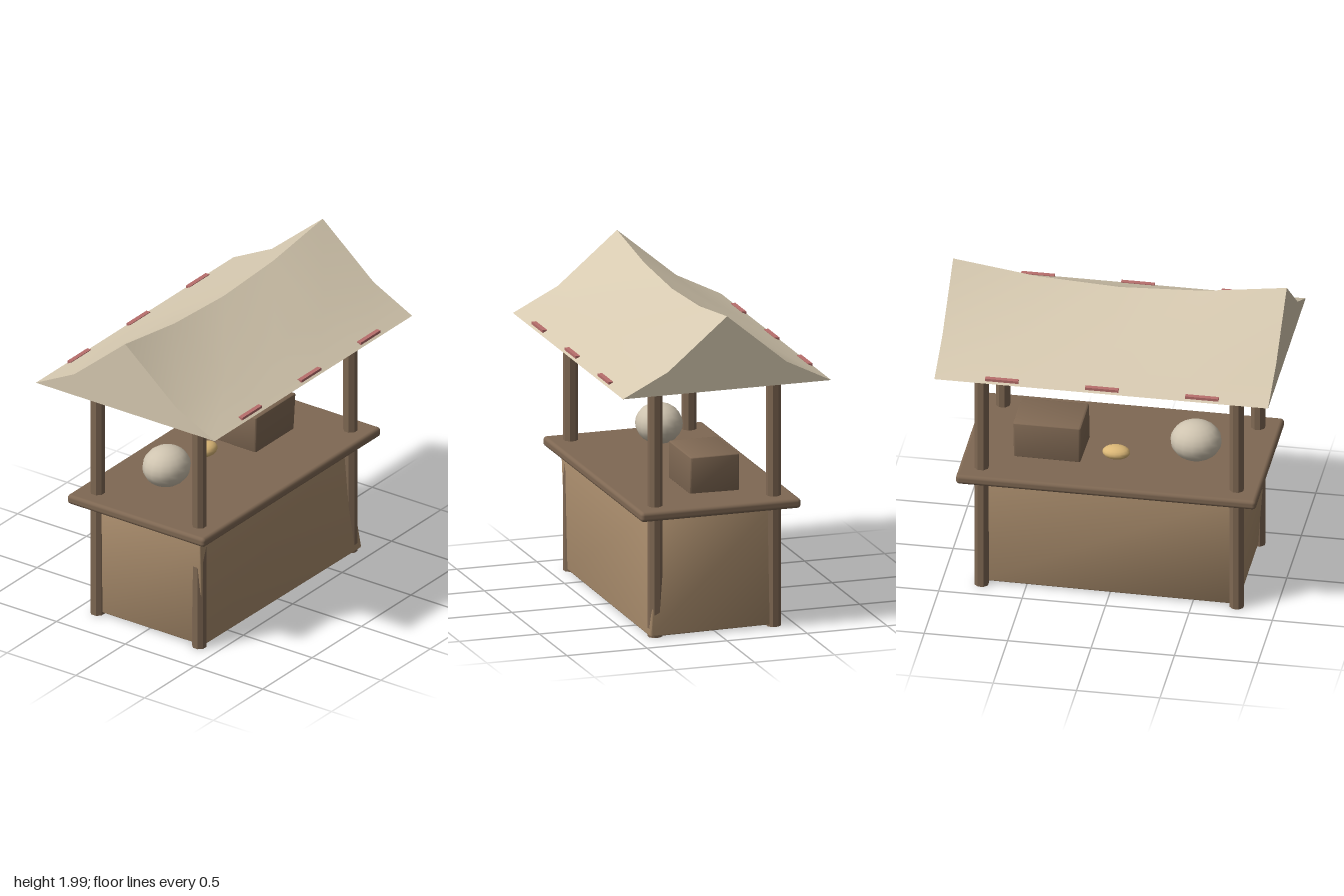
import * as THREE from 'three';
import { toCreasedNormals } from 'three/addons/utils/BufferGeometryUtils.js';
import { RoundedBoxGeometry } from 'three/addons/geometries/RoundedBoxGeometry.js';

const wood = new THREE.MeshStandardMaterial({ color: 0x7f6853 });
const panel = new THREE.MeshStandardMaterial({ color: 0xa98c6c });
const cloth = new THREE.MeshStandardMaterial({ color: 0xd6c9b0 });
const trim = new THREE.MeshStandardMaterial({ color: 0xb86f6c });
const pale = new THREE.MeshStandardMaterial({ color: 0xcfc4b0 });
const crust = new THREE.MeshStandardMaterial({ color: 0xdcb877 });

function add(group, name, geometry, material, x = 0, y = 0, z = 0) {
  const mesh = new THREE.Mesh(geometry, material);
  mesh.name = name;
  mesh.position.set(x, y, z);
  group.add(mesh);
  return mesh;
}

// Rounded box whose footprint blends between hand-set bottom and top corners.
// Corner order: (-x,-z), (+x,-z), (-x,+z), (+x,+z), each as [x, z].
function skewedBox(bottom, top, y0, y1, radius) {
  const geo = new RoundedBoxGeometry(1, 1, 1, 2, radius);
  const p = geo.attributes.position;
  for (let i = 0; i < p.count; i++) {
    const u = p.getX(i) + 0.5, v = p.getY(i) + 0.5, w = p.getZ(i) + 0.5;
    const weights = [(1 - u) * (1 - w), u * (1 - w), (1 - u) * w, u * w];
    let x = 0, z = 0;
    weights.forEach((k, c) => {
      x += k * (bottom[c][0] * (1 - v) + top[c][0] * v);
      z += k * (bottom[c][1] * (1 - v) + top[c][1] * v);
    });
    p.setXYZ(i, x, y0 + (y1 - y0) * v, z);
  }
  return toCreasedNormals(geo, 0.7);
}

// Closed tent roof: a flared gable section swept along x with a sagging ridge.
function roofGeometry() {
  const stations = [[-1, 1.99], [-0.5, 1.92], [0, 1.895], [0.5, 1.92], [1, 1.99]];
  const rings = stations.map(([x, ridge]) => [
    [x, 1.54, 0.65], [x, 1.68, 0.37], [x, ridge, 0], [x, 1.68, -0.37], [x, 1.54, -0.65],
  ]);
  const pos = [];
  const tri = (a, b, c) => pos.push(...a, ...b, ...c);
  for (let s = 0; s < rings.length - 1; s++) {
    const a = rings[s], b = rings[s + 1];
    for (let i = 0; i < 5; i++) {
      const j = (i + 1) % 5; // last pair closes the flat underside
      tri(a[i], b[i], b[j]);
      tri(a[i], b[j], a[j]);
    }
  }
  // Gable ends, fanned from the ridge
  const l = rings[0], r = rings[rings.length - 1];
  for (const [i, j] of [[0, 1], [1, 3], [3, 4]]) {
    if (i === 1) {
      tri(l[1], l[2], l[3]);
      tri(r[3], r[2], r[1]);
    }
  }
  tri(l[0], l[1], l[3]);
  tri(l[0], l[3], l[4]);
  tri(r[3], r[1], r[0]);
  tri(r[4], r[3], r[0]);
  const geo = new THREE.BufferGeometry();
  geo.setAttribute('position', new THREE.Float32BufferAttribute(pos, 3));
  return toCreasedNormals(geo, 0.6);
}

export function createModel() {
  const stall = new THREE.Group();
  stall.name = 'marketStall';

  // Slightly crooked base cabinet
  add(stall, 'base', skewedBox(
    [[-0.77, -0.37], [0.79, -0.35], [-0.77, 0.4], [0.82, 0.415]],
    [[-0.78, -0.37], [0.78, -0.37], [-0.82, 0.415], [0.735, 0.345]],
    0.01, 0.745, 0.012), panel);

  // Counter slab
  add(stall, 'counter', new RoundedBoxGeometry(1.8, 0.06, 1.0, 2, 0.022), wood, 0, 0.77, 0);

  // Corner posts
  for (const x of [-0.765, 0.765]) {
    for (const z of [-0.37, 0.37]) {
      const geo = toCreasedNormals(new THREE.CylinderGeometry(0.044, 0.044, 1.6, 8), 0.5);
      add(stall, 'post', geo, wood, x, 0.8, z).rotation.y = Math.PI / 8;
    }
  }

  // Canopy with small trim strips along both eaves
  add(stall, 'roof', roofGeometry(), cloth);
  for (const side of [-1, 1]) {
    for (const x of [-0.6, 0, 0.6]) {
      add(stall, 'trimStrip', new THREE.BoxGeometry(0.2, 0.016, 0.028), trim, x, 1.557, side * 0.622);
    }
  }

  // Goods on the counter
  add(stall, 'melon', new THREE.SphereGeometry(1, 16, 12), pale, -0.47, 0.94, -0.08)
    .scale.set(0.153, 0.123, 0.14);
  add(stall, 'bun', new THREE.SphereGeometry(1, 16, 10), crust, 0, 0.84, -0.13)
    .scale.set(0.083, 0.041, 0.06);
  add(stall, 'crate', skewedBox(
    [[0.2, -0.22], [0.6, -0.215], [0.195, 0.09], [0.585, 0.09]],
    [[0.2, -0.215], [0.605, -0.215], [0.2, 0.09], [0.605, 0.09]],
    0.795, 1.025, 0.03), wood);

  return stall;
}
